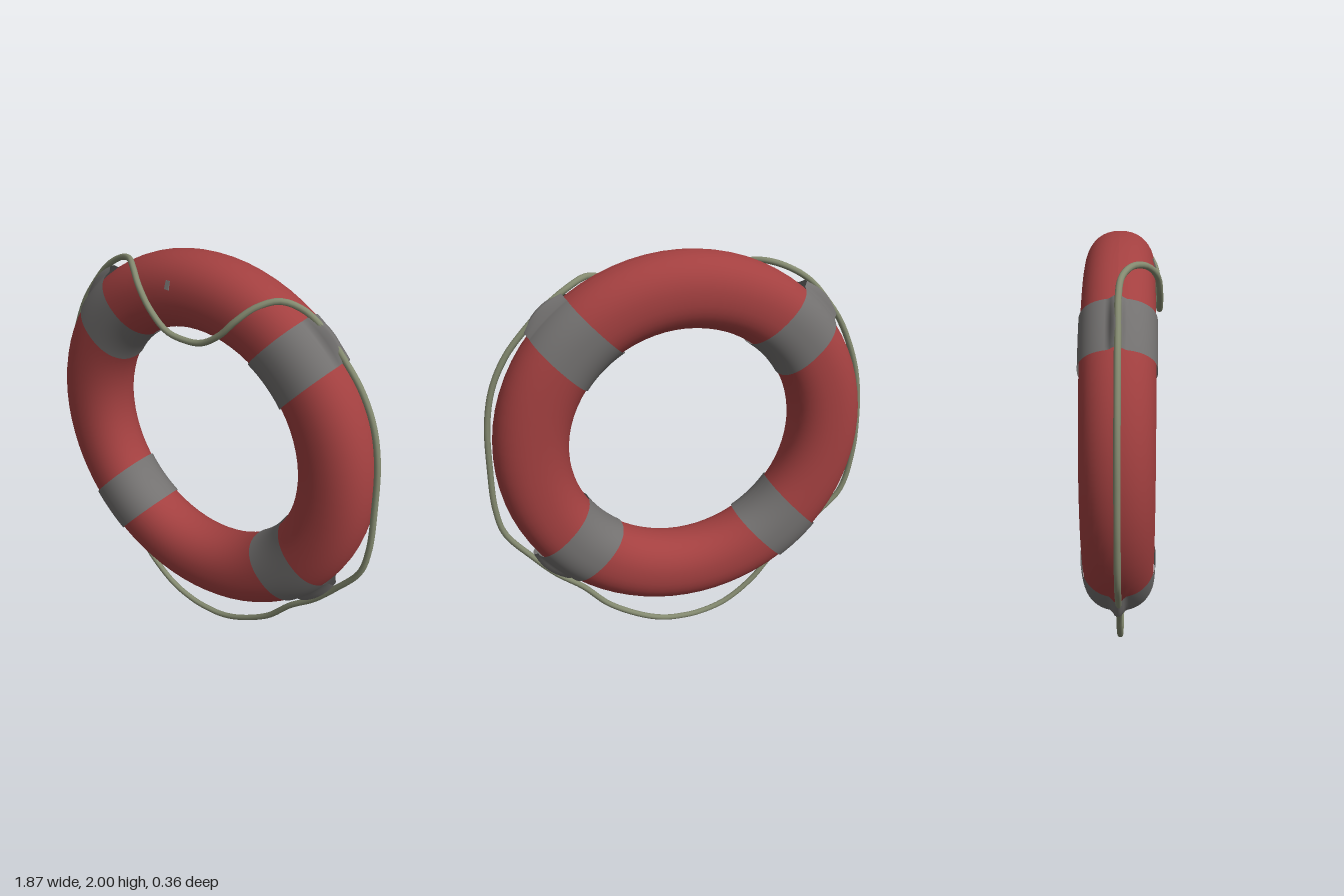
import * as THREE from 'three';

const CENTER_Y = 1.1, CENTER_Z = -0.016;
const MAJOR = 0.725, RADIAL = 0.174, DEPTH = 0.159;

const material = (name, color) => {
  const m = new THREE.MeshStandardMaterial({ color });
  m.name = name;
  return m;
};

// Slightly squared oval cross-section: offset outwards and in depth at angle phi
function section(phi, grow = 0) {
  const power = (v) => Math.sign(v) * Math.pow(Math.abs(v), 0.9);
  return [(RADIAL + grow) * power(Math.cos(phi)), (DEPTH + grow) * power(Math.sin(phi))];
}

// Grid surface from a rule point(u, v); v runs round the closed cross-section
function surface(nu, nv, point) {
  const geo = new THREE.PlaneGeometry(1, 1, nu, nv);
  const pos = geo.attributes.position, uv = geo.attributes.uv;
  for (let i = 0; i < pos.count; i++) pos.setXYZ(i, ...point(uv.getX(i), uv.getY(i)));
  geo.computeVertexNormals();
  return geo;
}

export function createModel() {
  const group = new THREE.Group();
  const red = material('red shell', 0xa34040);
  const grey = material('grey strap', 0x737170);
  const cord = material('sage rope', 0x848a70);
  grey.side = THREE.DoubleSide;
  const add = (name, geo, mat, parent = group) => {
    const mesh = new THREE.Mesh(geo, mat);
    mesh.name = name;
    parent.add(mesh);
    return mesh;
  };

  // Buoyant ring: revolve the oval about the depth axis
  const profile = [];
  for (let i = 0; i <= 40; i++) {
    const [r, z] = section((i / 40) * Math.PI * 2);
    profile.push(new THREE.Vector2(MAJOR + r, z));
  }
  const ring = add('ring', new THREE.LatheGeometry(profile, 72), red);
  ring.rotation.x = Math.PI / 2;
  ring.position.set(0, CENTER_Y, CENTER_Z);

  // Four parallel-sided straps, each with a raised rope sleeve on the outer rim
  const strap = surface(16, 96, (u, v) => {
    const t = (u - 0.5) * 0.236;
    const phi = (v - 0.5) * Math.PI * 2;
    const [r, z] = section(phi, 0.007);
    const sleeve = 0.042 * Math.exp(-Math.pow(phi / 0.13, 4)) * (0.55 + 0.45 * Math.sin(u * Math.PI));
    const rho = MAJOR + r + sleeve;
    return [Math.sqrt(rho * rho - t * t), t, z];
  });
  for (let i = 0; i < 4; i++) {
    const band = add('strap' + (i + 1), strap, grey);
    band.rotation.z = THREE.MathUtils.degToRad(47 + 90 * i);
    band.position.set(0, CENTER_Y, CENTER_Z);
  }

  // Grab rope: closed loop, draped over the front at the top and sagging below
  const Z = -0.012;
  const path = [
    [0, 1.655, 0.165], [-0.1, 1.672, 0.165], [-0.2, 1.755, 0.163], [-0.27, 1.84, 0.15],
    [-0.34, 1.893, 0.105], [-0.42, 1.905, 0.045], [-0.52, 1.875, 0], [-0.62, 1.81, Z],
    [-0.715, 1.7, Z], [-0.79, 1.59, Z], [-0.87, 1.4, Z], [-0.905, 1.25, Z], [-0.918, 1.1, Z],
    [-0.913, 0.88, Z], [-0.86, 0.66, Z], [-0.74, 0.535, Z], [-0.63, 0.425, Z], [-0.5, 0.32, Z],
    [-0.39, 0.185, Z], [-0.24, 0.07, Z], [-0.1, 0.025, Z], [0, 0.018, Z], [0.1, 0.027, Z],
    [0.22, 0.07, Z], [0.39, 0.175, Z], [0.52, 0.31, Z], [0.65, 0.415, Z], [0.76, 0.535, Z],
    [0.88, 0.69, Z], [0.913, 0.83, Z], [0.918, 1.05, Z], [0.908, 1.28, Z], [0.87, 1.45, Z],
    [0.8, 1.59, Z], [0.71, 1.7, Z], [0.61, 1.8, Z], [0.51, 1.87, 0], [0.42, 1.9, 0.045],
    [0.34, 1.87, 0.105], [0.27, 1.805, 0.15], [0.2, 1.73, 0.163], [0.1, 1.667, 0.165],
  ].map((p) => new THREE.Vector3(...p));
  const curve = new THREE.CatmullRomCurve3(path, true, 'centripetal');
  add('grabRope', new THREE.TubeGeometry(curve, 220, 0.0145, 10, true), cord);

  // Tiny tag on the front of the ring
  const tag = add('tag', new THREE.BoxGeometry(0.022, 0.04, 0.008), grey);
  tag.position.set(-0.11, 1.873, 0.137);
  tag.rotation.x = -0.35;

  return group;
}
